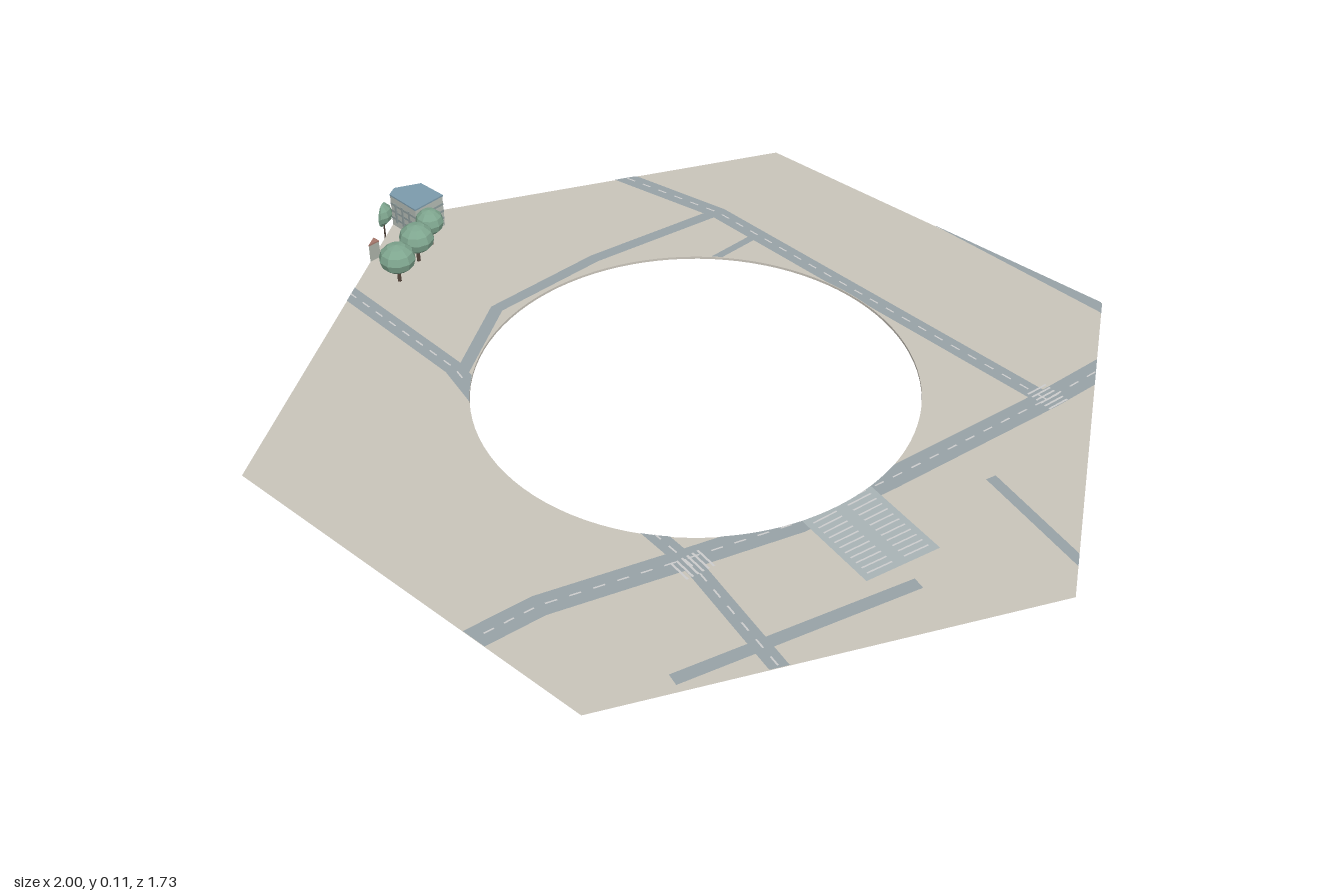
import * as THREE from 'three';
import { mergeGeometries } from 'three/addons/utils/BufferGeometryUtils.js';

const R = 0.5, GROUND = 0.006, ROAD = 0.0075, MARK = 0.0085;
const S3 = Math.sqrt(3);

const mat = (color, extra = {}) => new THREE.MeshStandardMaterial({ color, ...extra });

// Pull a point back onto the hexagonal plate, outside the round hole
function clampToPlate(x, z, hole = true) {
  const hex = Math.max(Math.abs(z) / (S3 / 2), Math.abs(x) + Math.abs(z) / S3);
  let k = hex > 1 ? 1 / hex : 1;
  const r = Math.hypot(x, z);
  if (hole && r < R) k = R / r;
  return [x * k, z * k];
}

// Flat patch between a right and a left edge, fitted to the plate
function patch(r0, l0, r1, l1, y, nu = 1, nv = 1) {
  const g = new THREE.PlaneGeometry(1, 1, nu, nv);
  const { position: p, uv, normal } = g.attributes;
  for (let i = 0; i < p.count; i++) {
    const u = uv.getX(i), v = uv.getY(i);
    const at = k => (r0[k] * (1 - u) + r1[k] * u) * (1 - v) + (l0[k] * (1 - u) + l1[k] * u) * v;
    const [x, z] = clampToPlate(at(0), at(1));
    p.setXYZ(i, x, y, z);
    normal.setXYZ(i, 0, 1, 0);
  }
  return g;
}

// Mitred ribbon along a line of [x, z] points
function ribbon(pts, width, y) {
  const dir = (a, b) => new THREE.Vector2(b[0] - a[0], b[1] - a[1]).normalize();
  const edges = pts.map((p, i) => {
    const a = dir(pts[Math.max(i - 1, 0)], pts[Math.max(i, 1)]);
    const last = pts.length - 1;
    const b = dir(pts[Math.min(i, last - 1)], pts[Math.min(i + 1, last)]);
    const d = a.clone().add(b).normalize();
    const w = width / 2 / d.dot(a);
    return { r: [p[0] - d.y * w, p[1] + d.x * w], l: [p[0] + d.y * w, p[1] - d.x * w] };
  });
  return edges.slice(1).map((e, i) => patch(edges[i].r, edges[i].l, e.r, e.l, y, 50, 6));
}

// Short dashes down the middle of a road
function dashes(pts, width) {
  const out = [];
  for (let i = 1; i < pts.length; i++) {
    const a = new THREE.Vector2(...pts[i - 1]), b = new THREE.Vector2(...pts[i]);
    const n = Math.max(1, Math.round(a.distanceTo(b) / 0.05));
    for (let k = 0; k < n; k++) {
      const s = a.clone().lerp(b, (k + 0.25) / n), e = a.clone().lerp(b, (k + 0.75) / n);
      const m = s.clone().add(e).multiplyScalar(0.5);
      const [cx, cz] = clampToPlate(m.x, m.y);
      if (Math.hypot(cx - m.x, cz - m.y) > 0.001) continue;
      out.push(...ribbon([s.toArray(), e.toArray()], width, MARK));
    }
  }
  return out;
}

// Zebra crossing: bars along angle a, laid side by side
function crossing(cx, cz, a, n = 6) {
  const d = [Math.cos(a) * 0.028, Math.sin(a) * 0.028];
  return Array.from({ length: n }, (_, i) => {
    const o = (i - (n - 1) / 2) * 0.013;
    const x = cx - Math.sin(a) * o, z = cz + Math.cos(a) * o;
    return ribbon([[x - d[0], z - d[1]], [x + d[0], z + d[1]]], 0.005, MARK);
  }).flat();
}

// Vertical prism over an [x, z] outline
function prism(outline, y0, y1) {
  const shape = new THREE.Shape(outline.map(([x, z]) => new THREE.Vector2(x, -z)));
  return new THREE.ExtrudeGeometry(shape, { depth: y1 - y0, bevelEnabled: false })
    .rotateX(-Math.PI / 2).translate(0, y0, 0);
}

// Cut anything overhanging the plate back to its edge
function trim(g) {
  const p = g.attributes.position;
  for (let i = 0; i < p.count; i++) {
    const [x, z] = clampToPlate(p.getX(i), p.getZ(i), false);
    p.setX(i, x).setZ(i, z);
  }
  g.computeVertexNormals();
  return g;
}

export function createModel() {
  const model = new THREE.Group();
  const add = (name, geometry, material, parent = model) => {
    const m = new THREE.Mesh(geometry, material);
    m.name = name;
    parent.add(m);
  };

  // Hexagonal ground sheet with a round hole and its rim
  const ground = mat(0xc9c4ba, { side: THREE.DoubleSide });
  const hex = new THREE.Shape(Array.from({ length: 6 }, (_, i) =>
    new THREE.Vector2(Math.cos(i * Math.PI / 3), Math.sin(i * Math.PI / 3))));
  hex.holes.push(new THREE.Path().absarc(0, 0, R, 0, Math.PI * 2, true));
  add('ground', new THREE.ShapeGeometry(hex, 48).rotateX(-Math.PI / 2).translate(0, GROUND, 0), ground);
  add('holeRim', new THREE.CylinderGeometry(R, R, GROUND, 96, 1, true).translate(0, GROUND / 2, 0), ground);

  // Roads, the wider ones with a dashed centre line
  const roads = [
    { w: 0.045, p: [[-0.76, -0.505], [-0.42, -0.55], [0.62, -0.475]], line: true },
    { w: 0.045, p: [[-0.9, 0.285], [-0.44, 0.32], [-0.28, 0.37]], line: true },
    { w: 0.06, p: [[0.645, -0.7], [0.61, -0.48], [0.515, -0.03], [0.46, 0.2], [0.36, 0.44], [0.24, 0.72], [0.205, 0.9]], line: true },
    { w: 0.04, p: [[0.2, 0.41], [0.4, 0.44], [0.75, 0.55]], line: true },
    { w: 0.03, p: [[-0.425, -0.55], [-0.51, -0.2], [-0.535, 0.1], [-0.415, 0.32]] },
    { w: 0.02, p: [[-0.285, -0.53], [-0.297, -0.38]] },
    { w: 0.03, p: [[0.75, 0.175], [0.565, 0.69]] },
    { w: 0.025, p: [[0.67, -0.18], [1, -0.075]] },
    { w: 0.04, p: [[0.02, -0.885], [0.6, -0.845]] },
  ];
  add('roads', mergeGeometries(roads.flatMap((r, i) => ribbon(r.p, r.w, ROAD + i * 0.00005))), mat(0x98a2a6));

  // Parking area
  const lot = [[0.465, 0.19], [0.5, 0.01], [0.67, 0.24], [0.72, 0.065]];
  add('parkingArea', patch(...lot, ROAD + 0.0005, 30, 30), mat(0xa9b3b6));

  // Parking bays in two rows
  const lotAt = (u, v) => [0, 1].map(k =>
    (lot[0][k] * (1 - v) + lot[1][k] * v) * (1 - u) + (lot[2][k] * (1 - v) + lot[3][k] * v) * u);
  const bays = [];
  for (let i = 1; i < 12; i++) {
    for (const [a, b] of [[0.08, 0.42], [0.58, 0.92]]) {
      bays.push(...ribbon([lotAt(i / 12, a), lotAt(i / 12, b)], 0.004, MARK));
    }
  }
  const white = mat(0xd2d6d6);
  add('parkingBays', mergeGeometries(bays), white);
  add('laneDashes', mergeGeometries(roads.filter(r => r.line).flatMap(r => dashes(r.p, 0.004))), white);
  add('crossings', mergeGeometries([
    ...crossing(0.605, -0.485, 1.75), ...crossing(0.385, 0.435, 0.2)]), white);

  // House cut off by the plate corner, with storey bands and roof
  const house = new THREE.Group();
  house.name = 'house';
  model.add(house);
  const plan = [[-0.985, 0.026], [-0.888, 0.03], [-0.888, -0.058], [-0.966, -0.058], [-0.998, 0]];
  const grown = k => plan.map(([x, z]) => [-0.94 + (x + 0.94) * k, -0.01 + (z + 0.01) * k]);
  add('walls', prism(plan, GROUND, 0.09), mat(0xb3bab3), house);
  add('storeyBands', mergeGeometries([0.025, 0.045, 0.065].map(y => prism(grown(1.01), y, y + 0.006))), mat(0x8e9c9c), house);
  add('roof', prism(grown(1.02), 0.09, 0.094), mat(0x7c9bac), house);
  const windows = [-0.965, -0.94, -0.915].map(x => new THREE.BoxGeometry(0.006, 0.055, 0.004).translate(x, 0.048, 0.028));
  add('windows', mergeGeometries(windows), mat(0x8e9c9c), house);

  // Small remnant of a lower house at the plate edge
  add('lowHouse', prism([[-0.902, 0.17], [-0.9, 0.14], [-0.919, 0.14]], GROUND, 0.05), mat(0xaab0a6));
  add('lowHouseRoof', prism([[-0.902, 0.17], [-0.9, 0.14], [-0.919, 0.14]], 0.05, 0.054), mat(0xa5786c));

  // Trees: x, z, crown radius
  const leaf = mat(0x7fa68f, { flatShading: true });
  const bark = mat(0x54453b, { flatShading: true });
  for (const [x, z, r] of [[-0.85, 0.02, 0.035], [-0.82, 0.088, 0.043], [-0.79, 0.175, 0.044], [-0.965, 0.077, 0.03]]) {
    const tree = new THREE.Group();
    tree.name = 'tree';
    model.add(tree);
    add('trunk', trim(new THREE.CylinderGeometry(0.004, 0.005, 0.05, 6).translate(x, GROUND + 0.025, z)), bark, tree);
    add('crown', trim(new THREE.SphereGeometry(r, 10, 6).scale(1, 0.037 / r * (r / 0.044) ** 0.5, 1).translate(x, 0.072, z)), leaf, tree);
  }
  return model;
}
